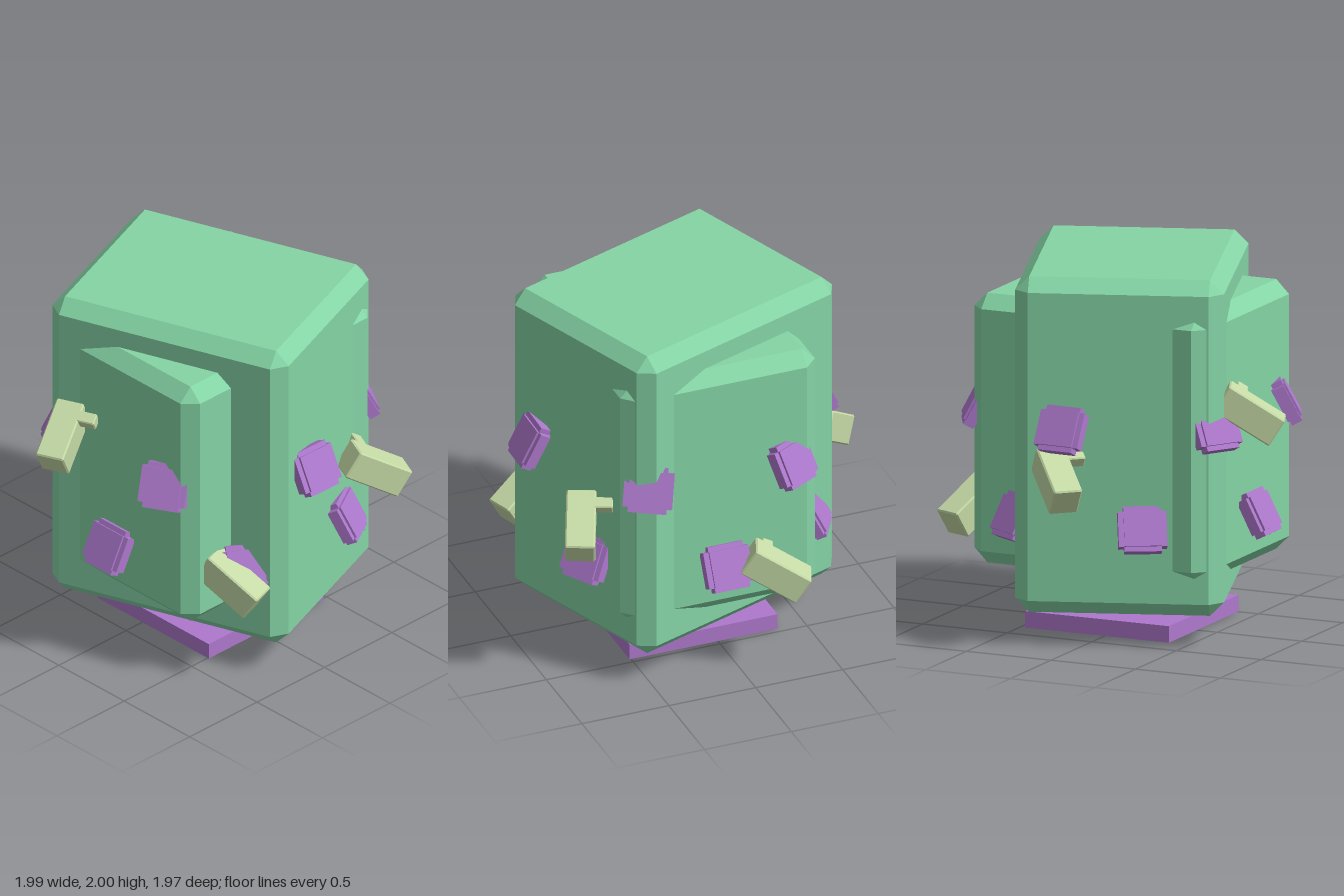
import * as THREE from 'three';
import { ConvexGeometry } from 'three/addons/geometries/ConvexGeometry.js';

const CX = 0.045, CZ = 0.083; // shared vertical axis of the body
const rad = THREE.MathUtils.degToRad;

function material(name, color) {
  const m = new THREE.MeshStandardMaterial({ color });
  m.name = name;
  return m;
}

// Box with every edge cut at 45 degrees
function chamferBox(w, h, d, c) {
  const pts = [];
  for (const sx of [-1, 1]) for (const sy of [-1, 1]) for (const sz of [-1, 1]) {
    const x = w / 2, y = h / 2, z = d / 2;
    pts.push(
      new THREE.Vector3(sx * x, sy * (y - c), sz * (z - c)),
      new THREE.Vector3(sx * (x - c), sy * y, sz * (z - c)),
      new THREE.Vector3(sx * (x - c), sy * (y - c), sz * z));
  }
  return new ConvexGeometry(pts);
}

function addMesh(parent, name, geometry, mat, x = 0, y = 0, z = 0) {
  const mesh = new THREE.Mesh(geometry, mat);
  mesh.name = name;
  mesh.position.set(x, y, z);
  parent.add(mesh);
  return mesh;
}

export function createModel() {
  const model = new THREE.Group();
  model.name = 'model';
  const green = material('leaf green', 0x84d4a5);
  const purple = material('purple', 0xad78cc);
  const pale = material('pale lime', 0xc5daa6);

  // Two crossed body blocks and the base plate
  const tall = addMesh(model, 'tallBody', chamferBox(1.118, 1.83, 1.4, 0.075), green, CX, 1.085, CZ);
  tall.rotation.y = rad(19.8);
  addMesh(model, 'crossBody', chamferBox(1.39, 1.47, 1.12, 0.075), green, CX, 1.085, CZ);
  addMesh(model, 'basePlate', new THREE.BoxGeometry(0.85, 0.09, 0.85), purple, CX, 0.045, CZ);

  // Two rings of tilted petals, each made of three crossed slabs
  const slabs = [[0.26, 0.195, 0.06], [0.2, 0.25, 0.06], [0.2, 0.195, 0.085]]
    .map((s) => new THREE.BoxGeometry(...s));
  const rings = [
    { name: 'upperPetal', y: 1.195, r: 0.82, start: -1.5 },
    { name: 'lowerPetal', y: 0.655, r: 0.755, start: 30 },
  ];
  for (const { name, y, r, start } of rings) {
    for (let i = 0; i < 6; i++) {
      const a = rad(start + i * 60);
      const petal = new THREE.Group();
      petal.name = name + (i + 1);
      petal.position.set(CX + r * Math.sin(a), y, CZ + r * Math.cos(a));
      petal.rotation.set(-0.48, a, 0, 'YXZ');
      for (const slab of slabs) addMesh(petal, 'petalSlab', slab, purple);
      model.add(petal);
    }
  }

  // Five drooping arms with a short stem: x, y, z, heading in degrees
  const armGeometry = chamferBox(0.16, 0.165, 0.35, 0.008);
  const stemGeometry = chamferBox(0.13, 0.065, 0.065, 0.006);
  const arms = [
    [0.545, 0.935, 0.82, 66],
    [0.86, 0.61, -0.175, 158],
    [0.065, 0.935, -0.795, 225],
    [-0.785, 1.26, -0.19, 293],
    [-0.43, 0.61, 0.74, 18],
  ];
  arms.forEach(([x, y, z, heading], i) => {
    const arm = new THREE.Group();
    arm.name = 'arm' + (i + 1);
    arm.position.set(x, y, z);
    arm.rotation.set(rad(32), rad(heading), 0, 'YXZ');
    addMesh(arm, 'armBlock', armGeometry, pale);
    addMesh(arm, 'armStem', stemGeometry, pale, 0.105, 0.05, -0.1);
    model.add(arm);
  });

  return model;
}
